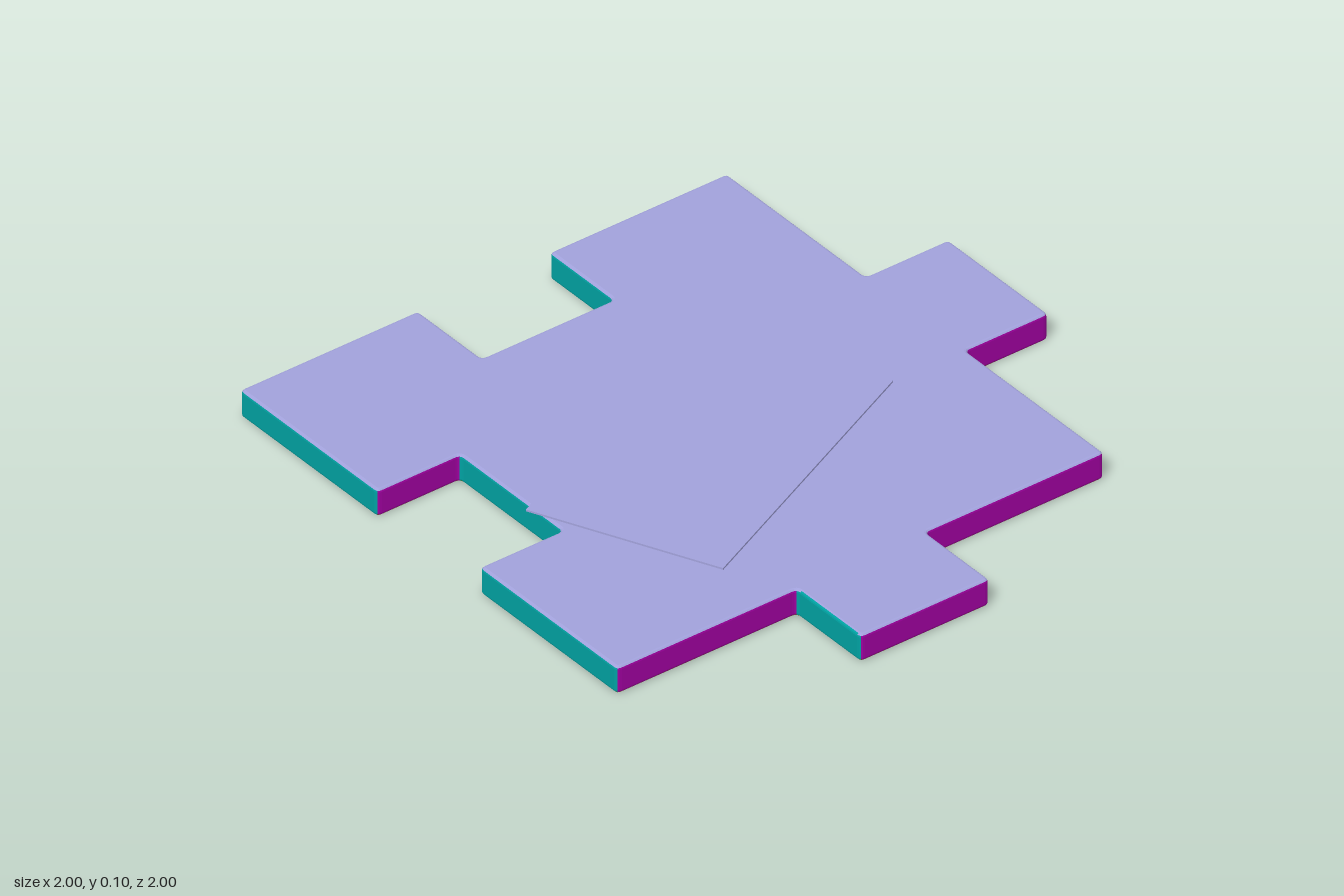
import * as THREE from 'three';

const HEIGHT = 0.09, BEVEL = 0.01, CORNER = 0.016;

// One colour for each direction a surface faces
const FACINGS = [
  { name: 'topFace', dir: [0, 1, 0], color: 0xa2a2dc },
  { name: 'bottomFace', dir: [0, -1, 0], color: 0xa2a200 },
  { name: 'frontSides', dir: [0, 0, 1], color: 0xa200a2 },
  { name: 'backSides', dir: [0, 0, -1], color: 0xa2dca2 },
  { name: 'leftSides', dir: [1, 0, 0], color: 0xdca2a2 },
  { name: 'rightSides', dir: [-1, 0, 0], color: 0x00a2a2 },
];

// Closed outline from [x, z] corners, each corner slightly rounded
function roundedOutline(corners) {
  const pts = corners.map(([x, z]) => new THREE.Vector2(x, -z));
  const shape = new THREE.Shape();
  pts.forEach((p, i) => {
    const prev = pts[(i + pts.length - 1) % pts.length];
    const next = pts[(i + 1) % pts.length];
    const a = prev.clone().sub(p).setLength(CORNER).add(p);
    const b = next.clone().sub(p).setLength(CORNER).add(p);
    if (i === 0) shape.moveTo(a.x, a.y);
    else shape.lineTo(a.x, a.y);
    shape.quadraticCurveTo(p.x, p.y, b.x, b.y);
  });
  shape.closePath();
  return shape;
}

// Splits a solid into one coloured mesh per facing direction
function colourByFacing(geometry, name) {
  const group = new THREE.Group();
  group.name = name;
  const source = geometry.index ? geometry.toNonIndexed() : geometry;
  const pos = source.attributes.position;
  const dirs = FACINGS.map(f => new THREE.Vector3(...f.dir));
  const buckets = FACINGS.map(() => []);
  const tri = new THREE.Triangle(), normal = new THREE.Vector3();
  for (let i = 0; i < pos.count; i += 3) {
    tri.setFromAttributeAndIndices(pos, i, i + 1, i + 2);
    tri.getNormal(normal);
    const dots = dirs.map(d => d.dot(normal));
    const bucket = buckets[dots.indexOf(Math.max(...dots))];
    for (const v of [tri.a, tri.b, tri.c]) bucket.push(v.x, v.y, v.z);
  }
  FACINGS.forEach((facing, i) => {
    const part = new THREE.BufferGeometry();
    part.setAttribute('position', new THREE.Float32BufferAttribute(buckets[i], 3));
    part.computeVertexNormals();
    const mesh = new THREE.Mesh(part, new THREE.MeshStandardMaterial({ color: facing.color }));
    mesh.name = facing.name;
    group.add(mesh);
  });
  return group;
}

export function createModel() {
  const group = new THREE.Group();
  group.name = 'puzzleTile';

  // Tile: square body, notches on the back and right edges, tabs on the other two
  const outline = roundedOutline([
    [-1, 0.71], [-0.37, 0.71], [-0.37, 1], [0.083, 1], [0.083, 0.71],
    [0.71, 0.71], [0.71, 0.083], [1, 0.083], [1, -0.37], [0.71, -0.37],
    [0.71, -1], [0.087, -1], [0.087, -0.71], [-0.375, -0.71], [-0.375, -1],
    [-1, -1], [-1, -0.377], [-0.71, -0.377], [-0.71, 0.087], [-1, 0.087],
  ]);
  const body = new THREE.ExtrudeGeometry(outline, {
    depth: HEIGHT - 2 * BEVEL, curveSegments: 4,
    bevelEnabled: true, bevelThickness: BEVEL, bevelSize: BEVEL,
    bevelOffset: -BEVEL, bevelSegments: 3,
  });
  body.rotateX(-Math.PI / 2).translate(0, BEVEL, 0);
  group.add(colourByFacing(body, 'tile'));

  // Thin turned panel just above the tile
  const panel = new THREE.Mesh(
    new THREE.BoxGeometry(1.025, 0.006, 0.617),
    new THREE.MeshStandardMaterial({ color: 0xa2a2dc }),
  );
  panel.name = 'topPanel';
  panel.position.set(-0.145, 0.099, 0.025);
  panel.rotation.y = 0.433;
  group.add(panel);

  return group;
}
